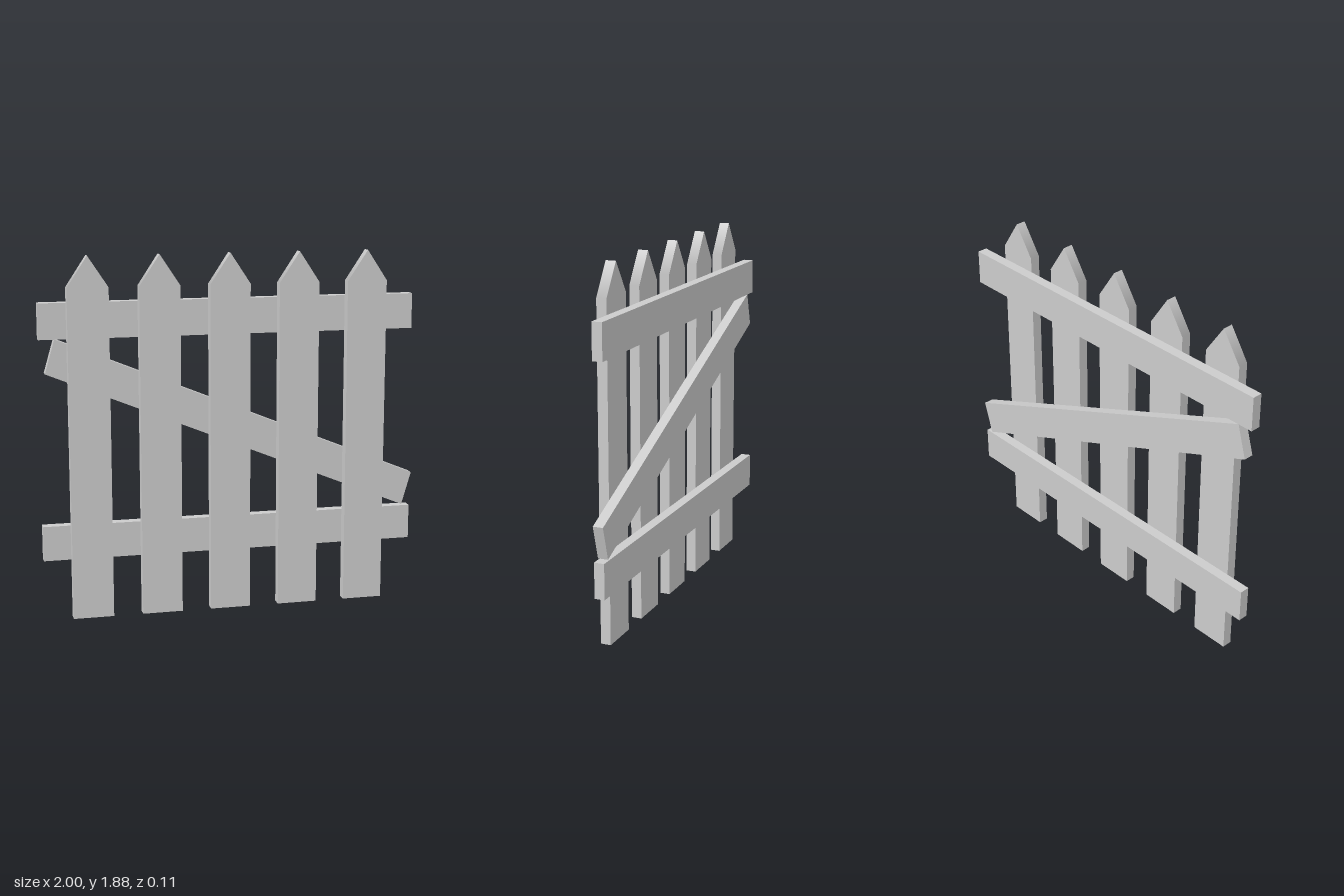
import * as THREE from 'three';

const material = new THREE.MeshStandardMaterial({ color: 0xcccccc });

// Flat board: an outline in x/y, extruded from z0 by depth
function board(name, points, z0, depth) {
  const shape = new THREE.Shape(points.map(([x, y]) => new THREE.Vector2(x, y)));
  const geometry = new THREE.ExtrudeGeometry(shape, { depth, bevelEnabled: false });
  geometry.translate(0, 0, z0);
  const mesh = new THREE.Mesh(geometry, material);
  mesh.name = name;
  return mesh;
}

const rectangle = (x0, x1, y0, y1) => [[x0, y0], [x1, y0], [x1, y1], [x0, y1]];

// Upright board with a pointed top
function picket(name, x) {
  const half = 0.106, shoulder = 1.725, tip = 1.885;
  const mesh = board(name, [[-half, 0], [half, 0], [half, shoulder], [0, tip], [-half, shoulder]], 0, 0.053);

  // Soften the shading where the long sides meet the sloped top
  const { position, normal } = mesh.geometry.attributes;
  for (let i = 0; i < position.count; i++) {
    if (Math.abs(position.getY(i) - shoulder) < 1e-4 && Math.abs(normal.getZ(i)) < 0.5) {
      normal.setXYZ(i, Math.sign(position.getX(i)), 0, 0);
    }
  }
  mesh.position.x = x;
  return mesh;
}

export function createModel() {
  const fence = new THREE.Group();
  fence.name = 'picketFence';

  // Five evenly spaced pickets at the front
  for (let i = 0; i < 5; i++) fence.add(picket(`picket${i + 1}`, -0.752 + i * 0.3662));

  // Rails and slanted brace behind the pickets
  const back = -0.053, depth = 0.053;
  fence.add(board('topRail', rectangle(-1, 0.98, 1.462, 1.647), back, depth));
  fence.add(board('bottomRail', rectangle(-1, 0.99, 0.307, 0.49), back, depth));
  fence.add(board('diagonalBrace', [[-0.97, 1.287], [0.947, 0.497], [0.998, 0.672], [-0.919, 1.463]], back, depth));

  return fence;
}
